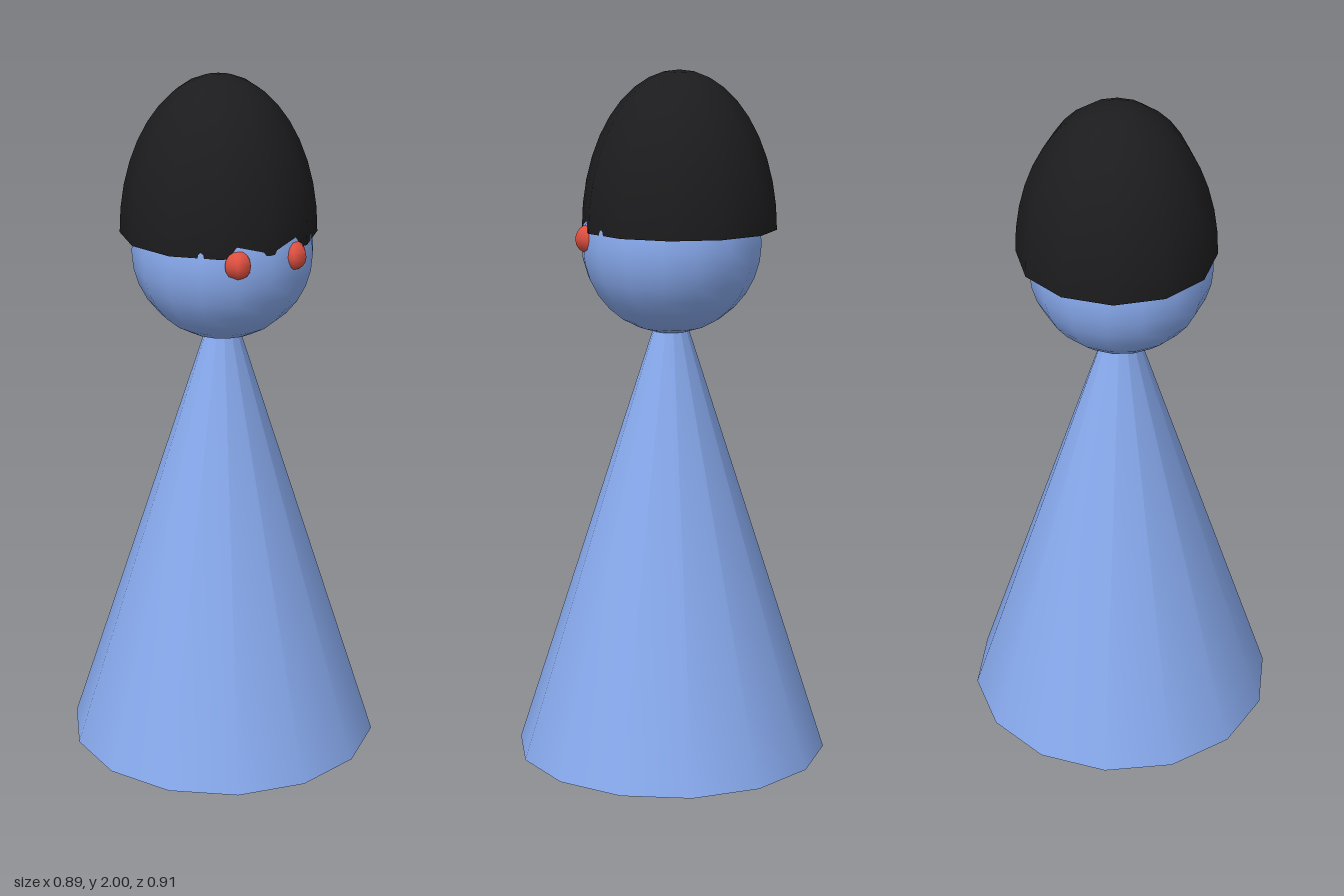
import * as THREE from 'three';

export function createModel() {
  const model = new THREE.Group();
  const mat = (color) => new THREE.MeshStandardMaterial({ color, side: THREE.DoubleSide });
  const blue = mat(0x88aaee), black = mat(0x1c1c1e), red = mat(0xe05040);

  function add(name, geometry, material, x, y, z) {
    const mesh = new THREE.Mesh(geometry, material);
    mesh.name = name;
    mesh.position.set(x, y, z);
    model.add(mesh);
    return mesh;
  }

  // Hollow 14-sided cone; its tip is hidden inside the head
  const coneHeight = 1.42;
  add('body', new THREE.ConeGeometry(0.457, coneHeight, 14, 1, true), blue, 0, coneHeight / 2, 0);

  add('head', new THREE.SphereGeometry(0.26, 16, 16), blue, 0, 1.51, 0);

  // Tall 12-sided half dome, open below and set slightly back
  const dome = new THREE.SphereGeometry(0.28, 12, 10, 0, Math.PI * 2, 0, Math.PI / 2);
  dome.scale(1, 0.45 / 0.28, 1);
  add('hat', dome, black, 0, 1.55, -0.023);

  // Small six-sided eyes
  for (const [name, side] of [['leftEye', 1], ['rightEye', -1]]) {
    add(name, new THREE.SphereGeometry(0.041, 6, 8), red, side * 0.09, 1.53, 0.226);
  }

  return model;
}
